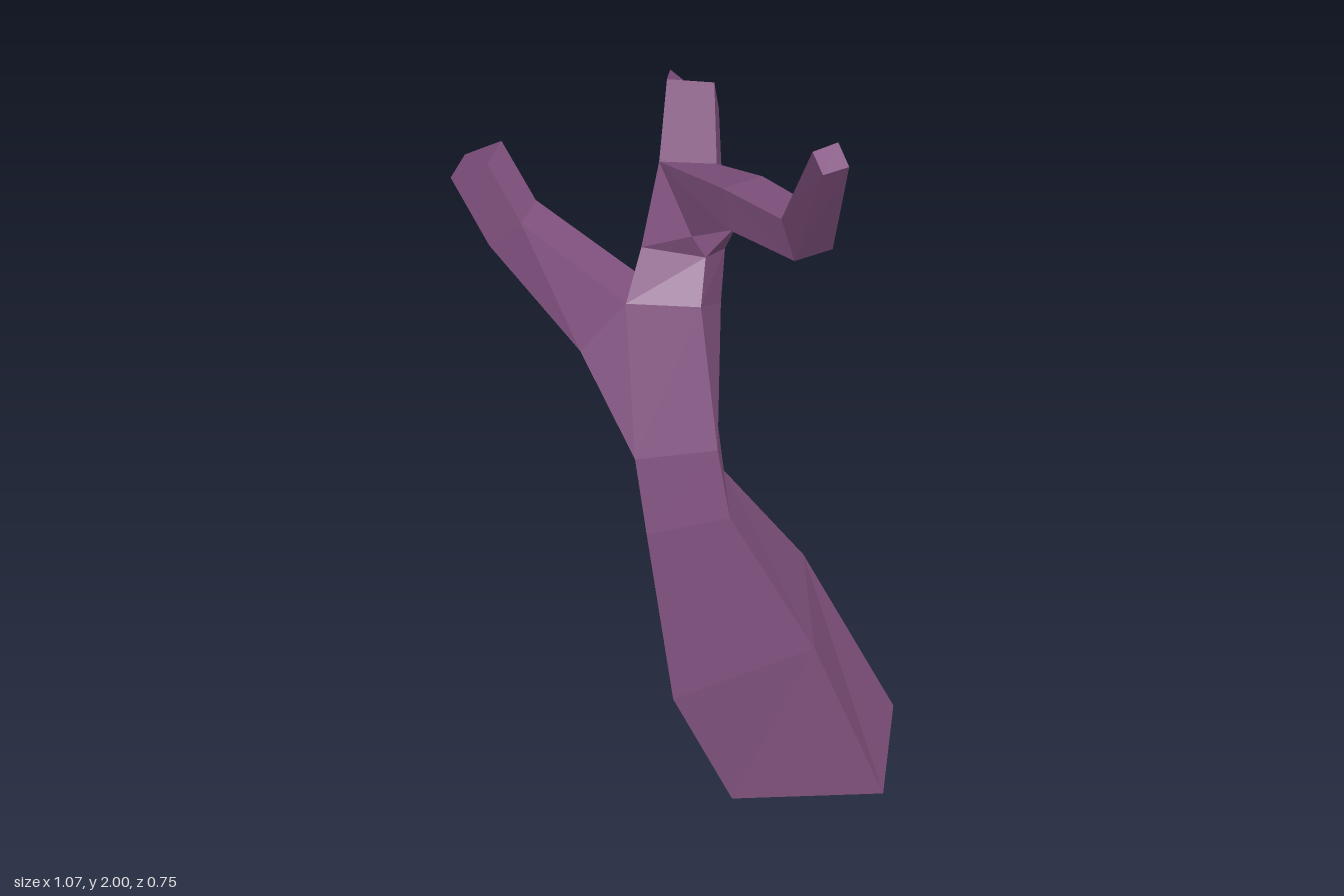
import * as THREE from 'three';

// Flat-shaded mesh from a list of convex polygons (corners counter-clockwise from outside)
function polyMesh(name, polygons, material) {
  const pos = [];
  for (const p of polygons)
    for (let i = 1; i < p.length - 1; i++) pos.push(...p[0], ...p[i], ...p[i + 1]);
  const geo = new THREE.BufferGeometry();
  geo.setAttribute('position', new THREE.Float32BufferAttribute(pos, 3));
  geo.computeVertexNormals();
  const mesh = new THREE.Mesh(geo, material);
  mesh.name = name;
  return mesh;
}

// Side quads joining successive four-cornered cross-sections
function loft(rings) {
  const faces = [];
  for (let r = 0; r < rings.length - 1; r++) {
    const a = rings[r], b = rings[r + 1];
    a.forEach((p, i) => {
      const j = (i + 1) % a.length;
      faces.push([p, a[j], b[j], b[i]]);
    });
  }
  return faces;
}

export function createModel() {
  const group = new THREE.Group();
  const bark = new THREE.MeshStandardMaterial({ color: 0x825280, flatShading: true });
  bark.name = 'purple bark';

  // Trunk: corners run front, right, back, left
  const trunk = [
    [[0.15, 0, 0.04], [0.485, 0.03, -0.045], [0.4, 0.05, -0.375], [0.068, 0.03, -0.29]],
    [[0.03, 0.285, 0.105], [0.335, 0.42, 0], [0.2, 0.45, -0.325], [-0.1, 0.32, -0.22]],
    [[-0.028, 0.73, 0.122], [0.15, 0.77, 0.055], [0.075, 0.775, -0.125], [-0.105, 0.735, -0.06]],
    [[-0.06, 0.92, 0.11], [0.117, 0.94, 0.045], [0.05, 0.94, -0.14], [-0.125, 0.91, -0.075]],
  ];
  group.add(polyMesh('trunk', [[...trunk[0]].reverse(), ...loft(trunk)], bark));

  // Fork corners shared by the trunk top and the three limbs
  const [A, B, C, D] = trunk[3];
  const lowFront = [-0.21, 1.15, 0.055], lowBack = [-0.21, 1.15, -0.11];
  const topFront = [-0.115, 1.27, 0.01], topBack = [-0.115, 1.27, -0.11];
  const B5 = [0.052, 1.27, -0.03], C5 = [0.05, 1.19, -0.18], D5 = [-0.112, 1.2, -0.17];
  const neckA = [-0.113, 1.36, -0.095], neckB = [0.04, 1.36, -0.1];
  const neckC = [0.045, 1.31, -0.225], neckD = [-0.108, 1.33, -0.22];
  const armTL = [-0.1, 1.54, -0.185], armTR = [0.03, 1.545, -0.21];
  const armBL = [0.012, 1.42, -0.085], armBR = [0.095, 1.42, -0.165];

  group.add(polyMesh('fork', [
    // lower part around the left-hand limb
    [A, B, B5, topFront, lowFront], [D, A, lowFront, lowBack],
    [B, C, C5, B5], [C, D, D5, C5], [D, lowBack, D5], [lowBack, topBack, D5],
    // neck
    [topFront, B5, neckB, neckA], [topBack, topFront, neckA, neckD],
    [D5, topBack, neckD], [B5, C5, neckC, neckB], [C5, D5, neckD, neckC],
    // underside of the long limb
    [neckA, neckB, armBL], [neckB, neckC, armBR], [neckB, armBR, armBL],
    [neckC, armTR, armBR], [neckA, armBL, armTL], [neckD, neckA, armTL],
  ], bark));

  // Limbs, each ending in a cap
  const limbs = {
    rightBranch: [
      [lowBack, lowFront, topFront, topBack],
      [[-0.437, 1.375, -0.087], [-0.437, 1.375, 0.03], [-0.36, 1.45, 0.03], [-0.36, 1.45, -0.075]],
      [[-0.535, 1.53, -0.088], [-0.535, 1.53, 0.015], [-0.447, 1.585, 0.015], [-0.447, 1.585, -0.088]],
    ],
    leftBranch: [
      [armBL, armBR, armTR, armTL],
      [[0.14, 1.53, 0.025], [0.205, 1.53, -0.045], [0.185, 1.625, -0.075], [0.112, 1.62, -0.005]],
      [[0.35, 1.59, 0.19], [0.417, 1.59, 0.115], [0.37, 1.67, 0.08], [0.305, 1.67, 0.15]],
      [[0.48, 1.962, 0.375], [0.53, 1.97, 0.335], [0.488, 2, 0.288], [0.44, 1.99, 0.33]],
    ],
    topStub: [
      [armTL, armTR, neckC, neckD],
      [[-0.107, 1.715, -0.262], [0, 1.715, -0.283], [-0.012, 1.6, -0.352], [-0.13, 1.68, -0.355]],
    ],
  };
  for (const [name, rings] of Object.entries(limbs))
    group.add(polyMesh(name, [...loft(rings), rings[rings.length - 1]], bark));

  return group;
}
